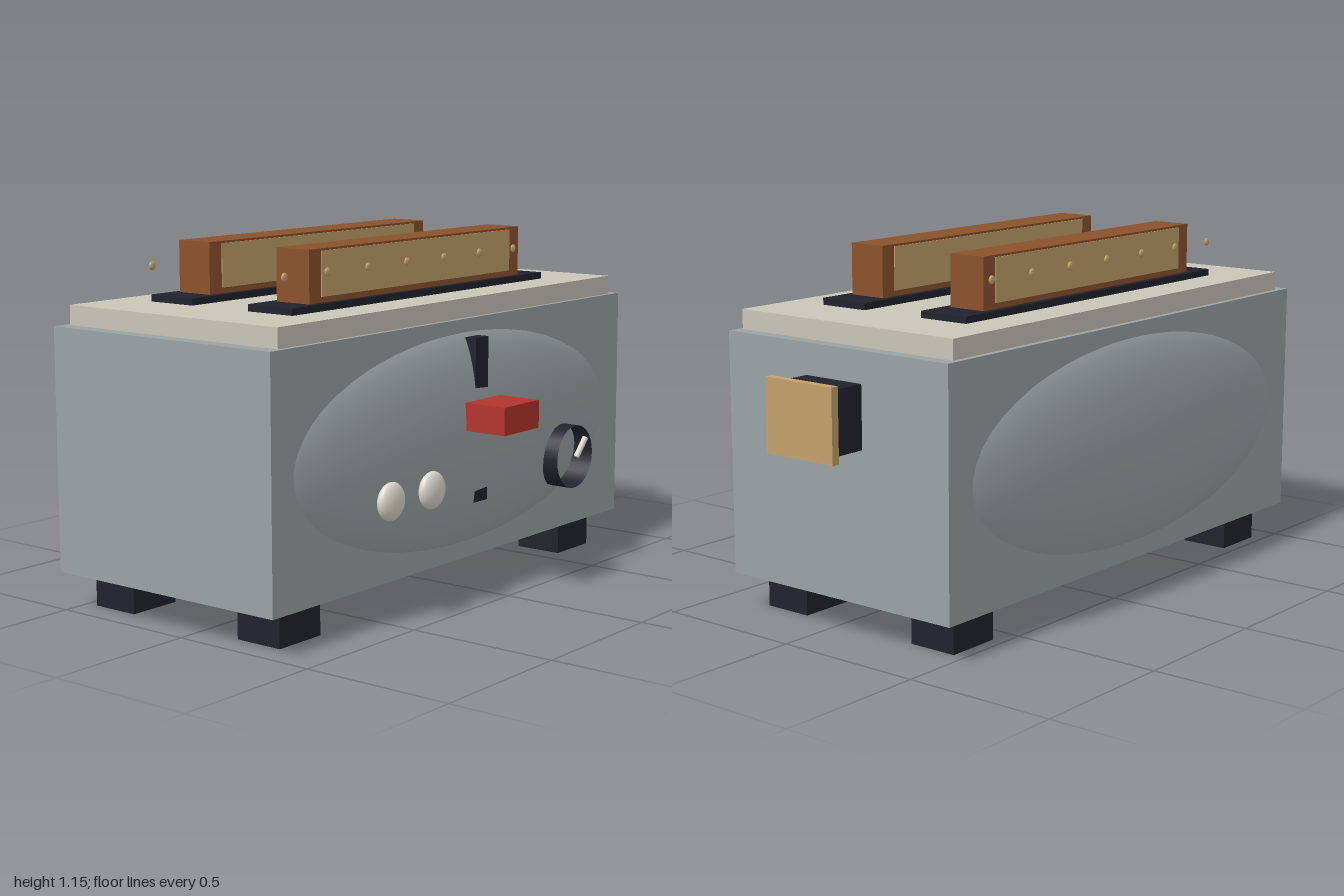
import * as THREE from 'three';

const mat = (name, color) => {
  const m = new THREE.MeshStandardMaterial({ color });
  m.name = name;
  return m;
};

export function createModel() {
  const steel = mat('steel grey', 0x9aa3a4);
  const cream = mat('cream', 0xc9c5b9);
  const dark = mat('dark plastic', 0x22222d);
  const brown = mat('crust brown', 0x8a522b);
  const tan = mat('crumb tan', 0xc3a26b);
  const red = mat('lever red', 0xb3342d);
  const white = mat('knob white', 0xdcd8cc);
  const darkShell = mat('dial black', 0x22222d);
  darkShell.side = THREE.DoubleSide;

  const model = new THREE.Group();
  model.name = 'toaster';

  const add = (name, geometry, material, x, y, z) => {
    const mesh = new THREE.Mesh(geometry, material);
    mesh.name = name;
    mesh.position.set(x, y, z);
    model.add(mesh);
    return mesh;
  };
  // Box given by its extents on each axis
  const box = (name, material, [x0, x1], [y0, y1], [z0, z1]) =>
    add(name, new THREE.BoxGeometry(x1 - x0, y1 - y0, z1 - z0), material,
      (x0 + x1) / 2, (y0 + y1) / 2, (z0 + z1) / 2);
  const ellipsoid = (name, material, x, y, z, rx, ry, rz, segs = 24) =>
    add(name, new THREE.SphereGeometry(1, segs, Math.ceil(segs * 0.67)), material, x, y, z)
      .scale.set(rx, ry, rz);

  // Housing
  box('body', steel, [-0.52, 0.37], [0.12, 0.9], [-0.85, 1.0]);
  box('topPlate', cream, [-0.5, 0.355], [0.9, 0.963], [-0.805, 0.95]);

  // Bulging side panels, mostly buried in the body
  ellipsoid('sideBulgeLeft', steel, 0.332, 0.516, 0.075, 0.1, 0.369, 0.9, 40);
  ellipsoid('sideBulgeRight', steel, -0.479, 0.516, 0.075, 0.1, 0.369, 0.9, 40);

  // Feet
  for (const x of [[-0.46, -0.294], [0.145, 0.312]])
    for (const z of [[0.72, 0.905], [-0.76, -0.575]]) box('foot', dark, x, [0, 0.12], z);

  // Slots, toast slices and crumbs on the outer faces
  for (const side of [-1, 1]) {
    const slotX = side < 0 ? -0.277 : 0.131;
    const toastX = side < 0 ? -0.277 : 0.131;
    box('slot', dark, [slotX - 0.088, slotX + 0.088], [0.95, 0.985], [-0.585, 0.73]);
    box('toastCrust', brown, [toastX - 0.065, toastX + 0.065], [0.96, 1.15], [-0.475, 0.625]);
    for (const face of [-1, 1]) {
      const x = toastX + face * 0.065;
      box('toastFace', tan, [x - 0.003, x + 0.003], [1.003, 1.143], [-0.42, 0.57]);
    }
    for (let i = 0; i < 7; i++)
      ellipsoid('crumb', tan, toastX + side * 0.069, 1.077, 0.742 - i * 0.197, 0.006, 0.014, 0.014, 10);
  }

  // Lever track and lever
  box('leverTrack', dark, [0.38, 0.421], [0.312, 0.843], [0.012, 0.08]);
  box('lever', red, [0.39, 0.576], [0.555, 0.645], [-0.05, 0.14]);

  // Round buttons
  for (const z of [0.53, 0.325]) ellipsoid('button', white, 0.434, 0.396, z, 0.027, 0.06, 0.06, 24);

  // Open dial ring with a tilted pointer
  add('dialRing', new THREE.CylinderGeometry(0.107, 0.107, 0.11, 28, 1, true), darkShell, 0.415, 0.388, -0.43)
    .rotation.z = Math.PI / 2;
  const pointer = add('dialPointer', new THREE.CylinderGeometry(0.01, 0.01, 0.074, 12), white, 0.484, 0.421, -0.445);
  pointer.quaternion.setFromUnitVectors(new THREE.Vector3(0, 1, 0),
    new THREE.Vector3(0.012, 0.062, -0.035).normalize());

  // Rear handle
  box('handleStem', dark, [-0.185, 0.038], [0.6, 0.8], [-0.975, -0.84]);
  box('handlePlate', tan, [-0.207, 0.062], [0.583, 0.815], [-1.0, -0.973]);

  return model;
}
